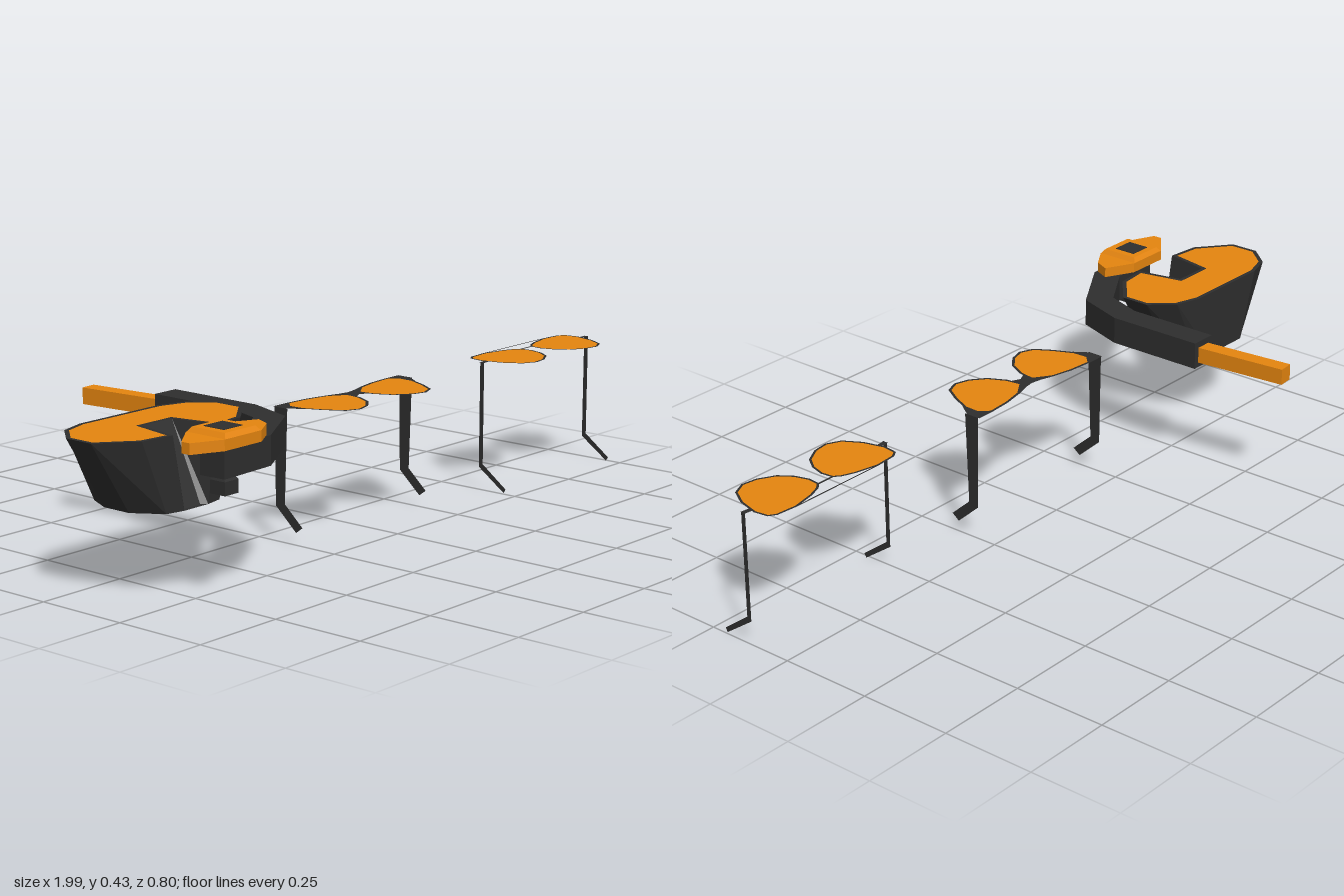
import * as THREE from 'three';

const mat = (color) => new THREE.MeshStandardMaterial({ color, flatShading: true, side: THREE.DoubleSide });
const dark = mat(0x2e2e2e), orange = mat(0xe5850f);

const add = (parent, name, geo, material) => {
  const mesh = new THREE.Mesh(geo, material);
  mesh.name = name;
  parent.add(mesh);
  return mesh;
};
const toShape = (pts, hole) => {
  const s = new THREE.Shape(pts.map(([a, b]) => new THREE.Vector2(a, b)));
  if (hole) s.holes.push(new THREE.Path(hole.map(([a, b]) => new THREE.Vector2(a, b))));
  return s;
};
// flat sheet from [x, z] points at height y, its normal pointing up
const sheet = (pts, y, hole) => new THREE.ShapeGeometry(toShape(pts.map(([x, z]) => [x, -z]), hole && hole.map(([x, z]) => [x, -z])))
  .rotateX(-Math.PI / 2).translate(0, y, 0);

// move every edge of a polygon inwards by d
function inset(pts, d) {
  const n = pts.length;
  const area = pts.reduce((s, [x, y], i) => s + x * pts[(i + 1) % n][1] - y * pts[(i + 1) % n][0], 0);
  const normal = (a, b) => {
    const l = Math.hypot(b[0] - a[0], b[1] - a[1]) * Math.sign(area);
    return [-(b[1] - a[1]) / l, (b[0] - a[0]) / l];
  };
  return pts.map((p, i) => {
    const a = normal(pts[(i + n - 1) % n], p), b = normal(p, pts[(i + 1) % n]);
    const k = d / (1 + a[0] * b[0] + a[1] * b[1]);
    return [p[0] + (a[0] + b[0]) * k, p[1] + (a[1] + b[1]) * k];
  });
}

// walls between rings of equal length; caps close the first and last ring
function loft(rings, caps) {
  const n = rings[0].length, pos = rings.flat(2), index = [];
  for (let r = 0; r < rings.length - 1; r++) {
    for (let i = 0; i < n; i++) {
      const a = r * n + i, b = r * n + (i + 1) % n;
      index.push(a, b, a + n, b, b + n, a + n);
    }
  }
  if (caps) {
    const last = (rings.length - 1) * n;
    for (let i = 1; i < n - 1; i++) index.push(0, i + 1, i, last, last + i, last + i + 1);
  }
  const g = new THREE.BufferGeometry();
  g.setAttribute('position', new THREE.Float32BufferAttribute(pos, 3));
  g.setIndex(index);
  const flat = g.toNonIndexed();
  flat.computeVertexNormals();
  return flat;
}

// square tube of width w and height h along [x, z] points, mitred at the bends
function squareTube(path, y, w, h) {
  const v = path.map(([x, z]) => new THREE.Vector2(x, z));
  return loft(v.map((p, i) => {
    const d0 = p.clone().sub(v[Math.max(i - 1, 0)]).normalize();
    const d1 = v[Math.min(i + 1, v.length - 1)].clone().sub(p).normalize();
    const t = d0.add(d1).normalize();
    const seg = i ? p.clone().sub(v[i - 1]).normalize() : t;
    const k = w / 2 / seg.dot(t), ox = -t.y * k, oz = t.x * k;
    return [[1, -1], [-1, -1], [-1, 1], [1, 1]].map(([s, u]) => [p.x + ox * s, y + u * h / 2, p.y + oz * s]);
  }), true);
}

function makeMask() {
  const g = new THREE.Group();
  g.name = 'divingMask';
  const cx = -0.742, top = 0.405, bottom = 0.22;
  // right half: back centre round to the nose notch
  const half = [[0.13, 0], [0.2, 0.022], [0.255, 0.085], [0.255, 0.165], [0.165, 0.238], [0.075, 0.248], [0.05, 0.125]];
  const outline = [...half, ...half.slice().reverse().map(([x, z]) => [-x, z])].map(([x, z]) => [x + cx, z]);
  const lens = inset(outline, 0.011);
  const foot = outline.map(([x, z], i) => [cx + (x - cx) * 0.54, i === 6 || i === 7 ? 0.235 : z]);
  add(g, 'maskSkirt', loft([outline.map(([x, z]) => [x, top, z]), foot.map(([x, z]) => [x, bottom, z])]), dark);
  add(g, 'maskBase', sheet(foot.filter((p, i) => i !== 6 && i !== 7), bottom), dark);
  add(g, 'maskRim', sheet(outline, top, lens), dark);
  add(g, 'maskLens', sheet(lens, top), orange);
  return g;
}

function makeSnorkel() {
  const g = new THREE.Group();
  g.name = 'snorkel';
  add(g, 'snorkelTube', squareTube([[-0.43, -0.15], [-0.43, 0.115], [-0.472, 0.235], [-0.625, 0.33], [-0.783, 0.338]], 0.351, 0.073, 0.073), dark);
  add(g, 'snorkelTip', squareTube([[-0.454, -0.4], [-0.43, -0.148]], 0.349, 0.043, 0.043), orange);
  // winged valve body with a bevelled cap
  const cx = -0.743, cz = 0.338;
  const wing = [[-0.062, -0.06], [0.062, -0.06], [0.142, -0.02], [0.122, 0.022], [0.062, 0.06], [-0.062, 0.06], [-0.14, 0.025], [-0.14, 0]];
  const ring = (pts, y) => pts.map(([x, z]) => [cx + x, y, cz + z]);
  add(g, 'valveBody', loft([ring(wing, 0.389), ring(wing, 0.416)], true), orange);
  const square = (s) => [[-s, -s], [s, -s], [s, s], [-s, s]];
  add(g, 'valveCap', loft([ring(square(0.06), 0.416), ring(square(0.051), 0.428)], true), orange);
  add(g, 'valveButton', new THREE.BoxGeometry(0.063, 0.004, 0.063).translate(cx, 0.4275, cz - 0.002), dark);
  // tapered mouthpiece under the valve
  add(g, 'mouthpiece', loft([
    ring(square(0.023), 0.27), ring(square(0.023), 0.303), ring(square(0.015), 0.316)], true), dark);
  return g;
}

// both spectacles: mirrored flat fronts and thin folded-down temples
function makeGlasses({ name, x, y, rim, lens, temple, templeX, extras }) {
  const g = new THREE.Group();
  g.name = name;
  g.position.x = x;
  for (const s of [1, -1]) {
    const flip = (pts) => pts.map(([a, b]) => [a * s, b]);
    const side = s > 0 ? 'left' : 'right';
    add(g, side + 'Rim', sheet(flip(rim), y, flip(lens)), dark);
    add(g, side + 'Lens', sheet(flip(lens), y), orange);
    for (const [part, pts] of extras) add(g, side + part, sheet(flip(pts), y), dark);
    add(g, side + 'Temple', new THREE.ShapeGeometry(toShape(temple)).rotateY(-Math.PI / 2).translate(templeX * s, 0, 0), dark);
  }
  return g;
}

export function createModel() {
  const model = new THREE.Group();
  model.name = 'eyewearSet';
  model.add(makeMask(), makeSnorkel());

  // wide-framed glasses
  const wideLens = [[0.026, 0.1], [0.032, 0.14], [0.055, 0.185], [0.092, 0.215], [0.13, 0.226], [0.165, 0.212],
    [0.192, 0.168], [0.216, 0.115], [0.218, 0.075], [0.195, 0.052], [0.13, 0.057], [0.07, 0.07]];
  model.add(makeGlasses({
    name: 'wideGlasses', x: 0.003, y: 0.347, lens: wideLens, rim: inset(wideLens, -0.007),
    templeX: 0.248,
    temple: [[0.092, 0.347], [0.049, 0.347], [0.053, 0.092], [0.12, 0.032], [0.141, 0.048], [0.083, 0.1]],
    extras: [
      ['Bridge', [[0, 0.08], [0.03, 0.075], [0.072, 0.062], [0.023, 0.098], [0.025, 0.13], [0, 0.118]]],
      ['Hinge', [[0.195, 0.045], [0.248, 0.045], [0.248, 0.085], [0.221, 0.125], [0.222, 0.074]]],
    ],
  }));

  // wire-framed glasses
  const wireRim = [[0.022, 0.095], [0.018, 0.13], [0.03, 0.17], [0.055, 0.205], [0.1, 0.23], [0.143, 0.236], [0.182, 0.217],
    [0.21, 0.17], [0.226, 0.11], [0.22, 0.07], [0.2, 0.057], [0.14, 0.052], [0.075, 0.066], [0.04, 0.08]];
  model.add(makeGlasses({
    name: 'wireGlasses', x: 0.752, y: 0.352, rim: wireRim, lens: inset(wireRim, 0.006),
    templeX: 0.243,
    temple: [[0.134, 0.353], [0.121, 0.353], [0.121, 0.062], [0.206, 0.002], [0.212, 0.013], [0.134, 0.071]],
    extras: [
      ['BrowBar', [[0, 0.052], [0.14, 0.052], [0.14, 0.056], [0, 0.056]]],
      ['Bridge', [[0, 0.093], [0.024, 0.093], [0.024, 0.099], [0, 0.099]]],
      ['Hinge', [[0.222, 0.118], [0.245, 0.12], [0.245, 0.135], [0.218, 0.132]]],
    ],
  }));
  return model;
}
